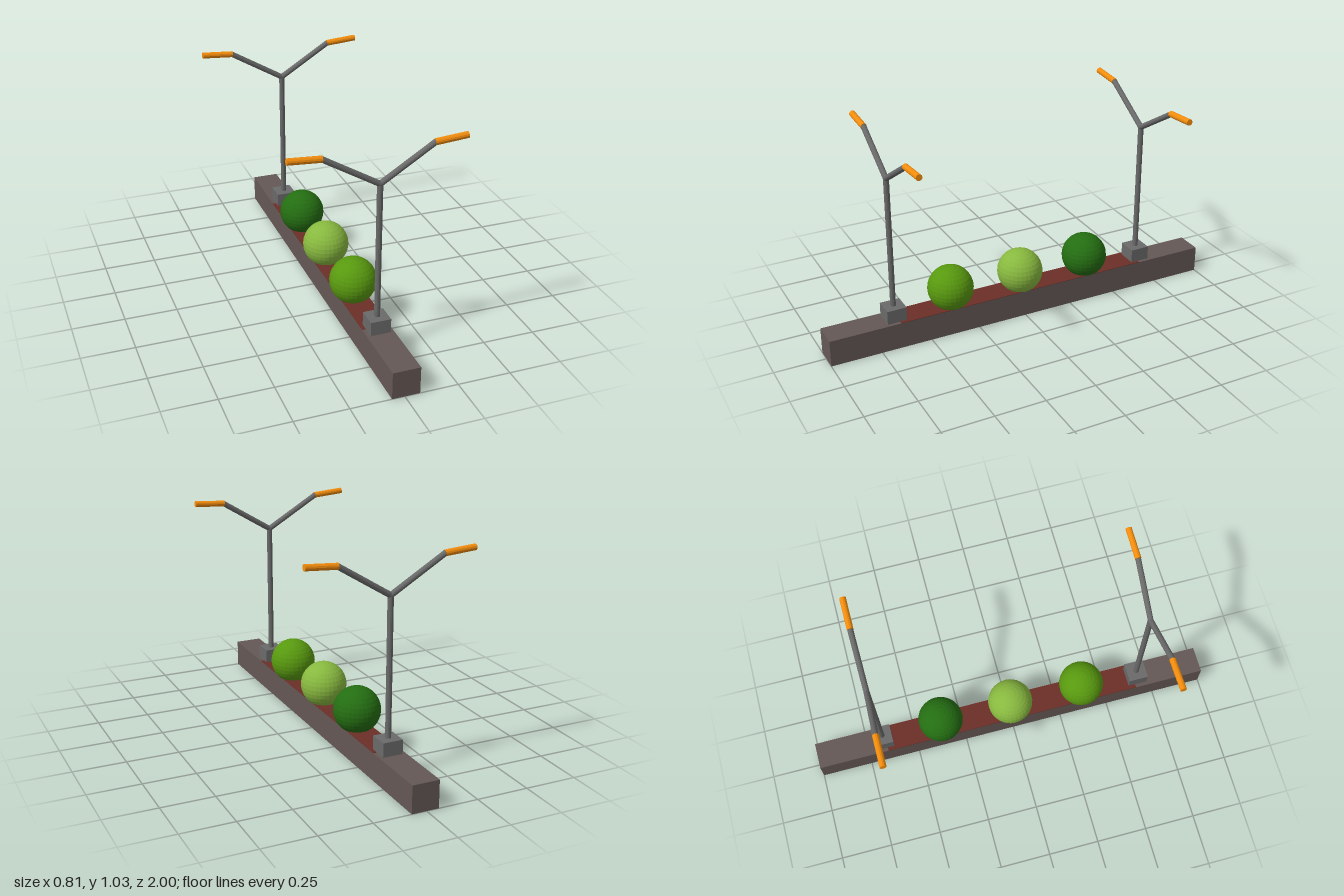
import * as THREE from 'three';

const mat = (color) => new THREE.MeshStandardMaterial({ color, flatShading: true });

export function createModel() {
  const root = new THREE.Group();
  root.name = 'streetMedian';
  const concrete = mat(0x655855), soil = mat(0x6b2f26), metal = mat(0x6a6a6a), amber = mat(0xf28c0c);
  const CX = 0.006; // kerb, posts and bushes share this centre line

  function add(parent, name, geometry, material, x = 0, y = 0, z = 0) {
    const mesh = new THREE.Mesh(geometry, material);
    mesh.name = name;
    mesh.position.set(x, y, z);
    parent.add(mesh);
    return mesh;
  }

  // Cylinder running between two points
  function rod(parent, name, a, b, radius, material) {
    const dir = b.clone().sub(a);
    const mesh = add(parent, name, new THREE.CylinderGeometry(radius, radius, dir.length(), 12), material);
    mesh.position.copy(a).add(b).multiplyScalar(0.5);
    mesh.quaternion.setFromUnitVectors(new THREE.Vector3(0, 1, 0), dir.normalize());
  }

  // Kerb and planting bed
  add(root, 'kerb', new THREE.BoxGeometry(0.13, 0.132, 2), concrete, CX, 0.066, 0);
  add(root, 'soilBed', new THREE.BoxGeometry(0.13, 0.004, 1.3), soil, CX, 0.132, 0);

  // Round bushes
  const bushes = [[0.37, 0x58990f], [0, 0x88b93f], [-0.36, 0x246e12]];
  for (const [z, color] of bushes) {
    add(root, 'bush', new THREE.SphereGeometry(0.111, 32, 16), mat(color), CX, 0.22, z);
  }

  // Double-armed street lamps
  for (const z of [0.663, -0.663]) {
    const lamp = new THREE.Group();
    lamp.name = 'streetLamp';
    lamp.position.z = z;
    root.add(lamp);
    add(lamp, 'footing', new THREE.BoxGeometry(0.096, 0.08, 0.096), metal, CX, 0.16, 0);
    const top = new THREE.Vector3(CX, 0.848, 0);
    rod(lamp, 'post', new THREE.Vector3(CX, 0.15, 0), top, 0.0135, metal);
    for (const side of [-1, 1]) {
      const elbow = new THREE.Vector3(side * 0.255, 1.003, 0);
      rod(lamp, 'arm', top, elbow, 0.0135, metal);
      rod(lamp, 'lampHead', new THREE.Vector3(side * 0.251, 1.002, 0),
        new THREE.Vector3(side * 0.403, 1.013, 0), 0.015, amber);
    }
  }
  return root;
}
